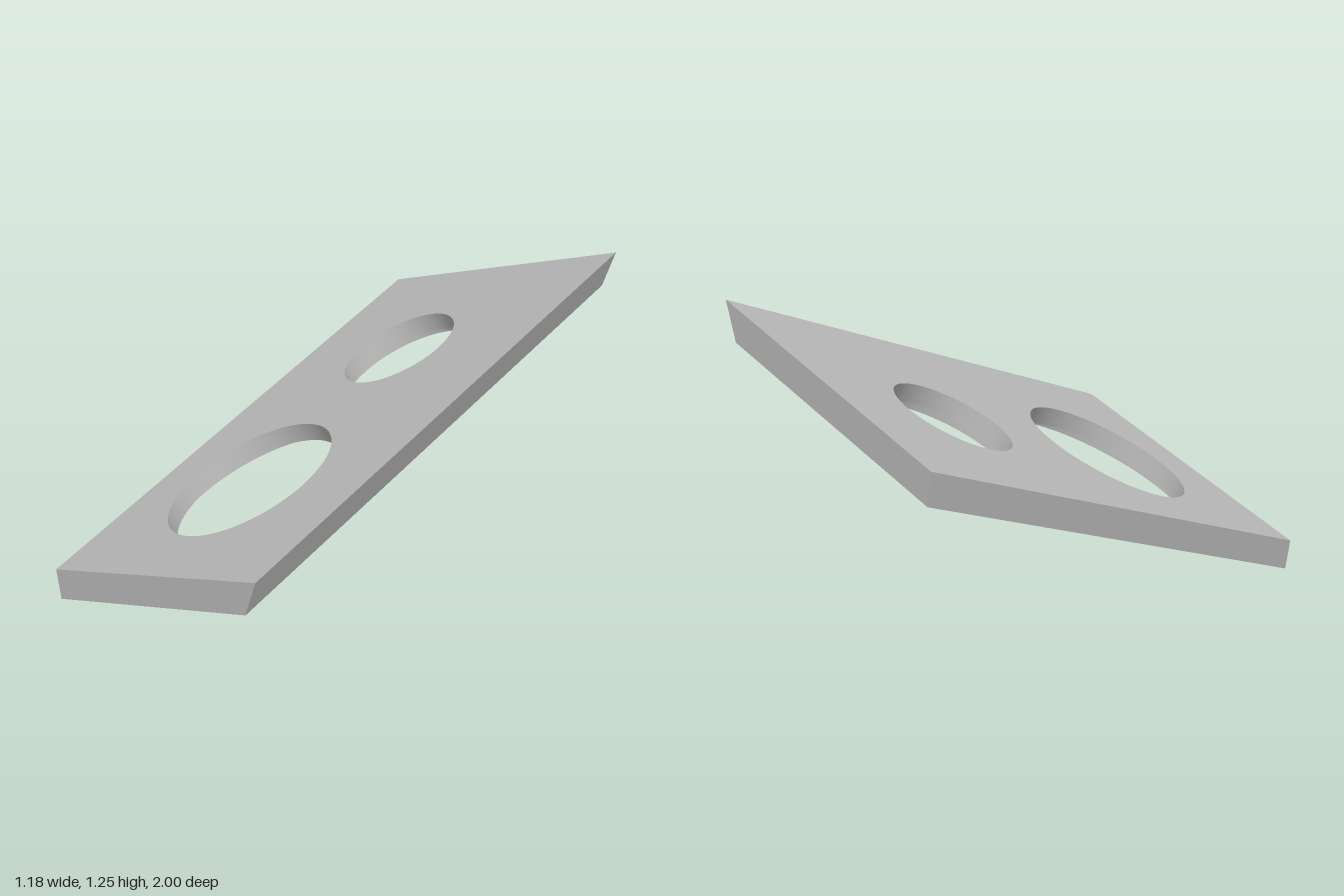
import * as THREE from 'three';
import { toCreasedNormals } from 'three/addons/utils/BufferGeometryUtils.js';

// Top plane of the tilted plate: y = HEIGHT + SLOPE_X * x + SLOPE_Z * z
const HEIGHT = 0.6875, SLOPE_X = 0.384, SLOPE_Z = -0.3325;
const DROP = 0.137; // vertical thickness

// Plate frame: u and v lie in the top plane, n points out of it
const n = new THREE.Vector3(-SLOPE_X, 1, -SLOPE_Z).normalize();
const u = new THREE.Vector3(1, SLOPE_X, 0).normalize();
const v = new THREE.Vector3().crossVectors(n, u);
const frame = new THREE.Matrix4().makeBasis(u, v, n).setPosition(0, HEIGHT, 0);
const toPlate = frame.clone().invert();

const THICKNESS = DROP * n.y;
const LEDGE = 0.08; // depth at which the bores widen

function platePoint(x, z, drop = 0) {
  return new THREE.Vector3(x, HEIGHT + SLOPE_X * x + SLOPE_Z * z - drop, z).applyMatrix4(toPlate);
}

// Rim corners, counter-clockwise seen from above; the long sides lean inward below
function corners(left, right, drop) {
  return [[left, 1], [right, 1], [right, -1], [left, -1]].map(([x, z]) => platePoint(x, z, drop));
}
const topCorners = corners(-0.588, 0.588, 0);
const bottomCorners = corners(-0.567, 0.532, DROP);

// Stepped bores: centre on the top face, narrow radius, wide radius
const bores = [
  { centre: platePoint(-0.06, 0.428), narrow: 0.362, wide: 0.45 },
  { centre: platePoint(-0.059, -0.428), narrow: 0.252, wide: 0.306 },
];

// One slab of the plate between two depths, its outer corners moved onto the slanted sides
function makeLayer(from, to, radiusKey, name, material) {
  const shape = new THREE.Shape(topCorners.map((c) => new THREE.Vector2(c.x, c.y)));
  for (const bore of bores) {
    const hole = new THREE.Path();
    hole.absarc(bore.centre.x, bore.centre.y, bore[radiusKey], 0, Math.PI * 2, true);
    shape.holes.push(hole);
  }
  const geometry = new THREE.ExtrudeGeometry(shape, {
    depth: to - from, bevelEnabled: false, curveSegments: 48,
  });
  geometry.translate(0, 0, -to);

  const position = geometry.attributes.position;
  for (let i = 0; i < position.count; i++) {
    const k = topCorners.findIndex((c) =>
      Math.hypot(c.x - position.getX(i), c.y - position.getY(i)) < 1e-4);
    if (k < 0) continue;
    const p = topCorners[k].clone().lerp(bottomCorners[k], -position.getZ(i) / THICKNESS);
    position.setXYZ(i, p.x, p.y, p.z);
  }
  const mesh = new THREE.Mesh(toCreasedNormals(geometry, 0.5), material);
  mesh.name = name;
  return mesh;
}

export function createModel() {
  const grey = new THREE.MeshStandardMaterial({ color: 0xb8b8b8 });
  grey.name = 'grey';

  const plate = new THREE.Group();
  plate.name = 'tiltedPlate';
  plate.add(
    makeLayer(0, LEDGE, 'narrow', 'upperPlate', grey),
    makeLayer(LEDGE, THICKNESS, 'wide', 'counterboredUnderside', grey),
  );
  plate.applyMatrix4(frame);

  const model = new THREE.Group();
  model.name = 'boredPlate';
  model.add(plate);
  return model;
}
